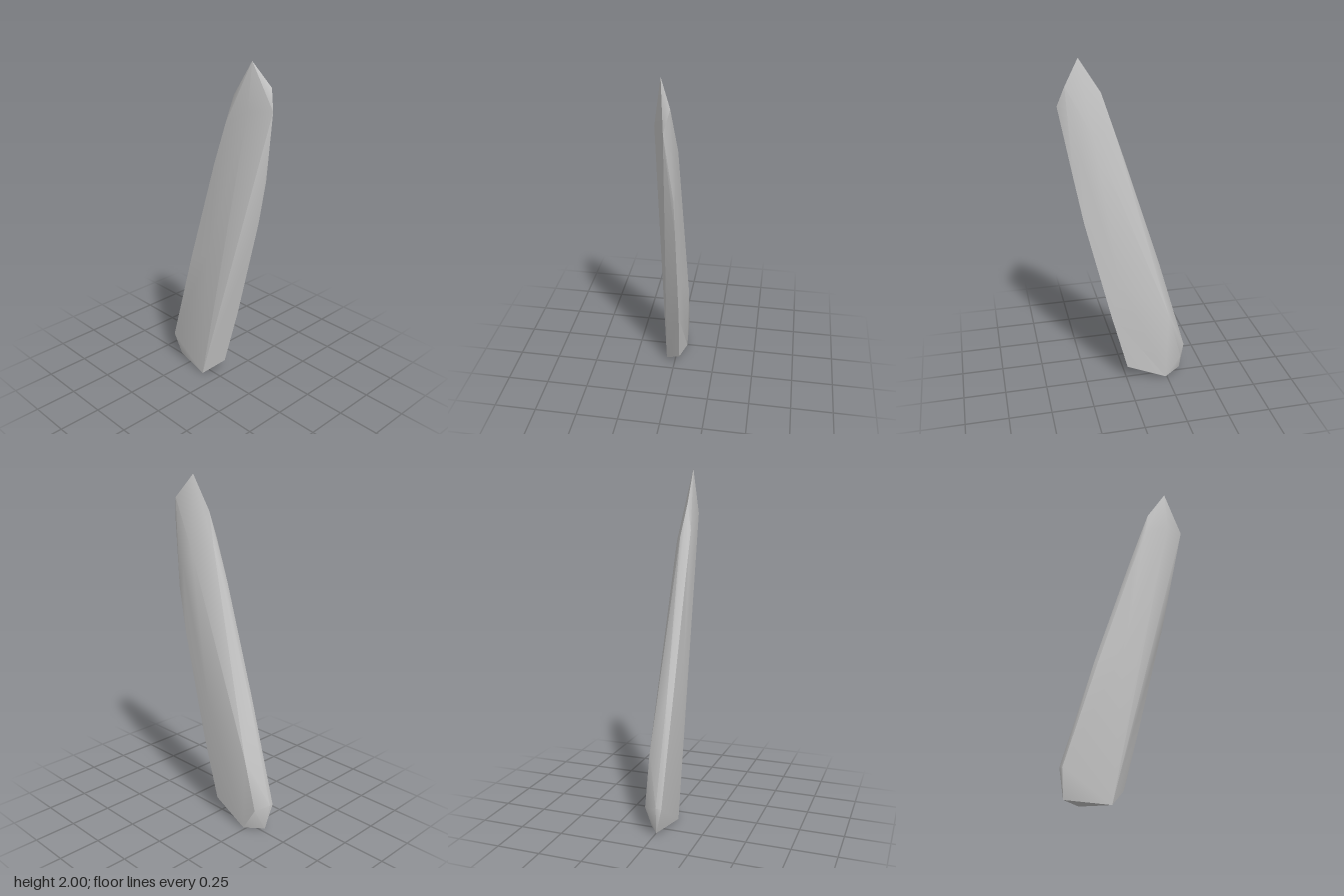
import * as THREE from 'three';
import { ConvexGeometry } from 'three/addons/geometries/ConvexGeometry.js';
import { toCreasedNormals } from 'three/addons/utils/BufferGeometryUtils.js';

export function createModel() {
  const model = new THREE.Group();
  model.name = 'stoneShard';
  const stone = new THREE.MeshStandardMaterial({ color: 0xc6c6c6 });
  stone.name = 'light grey stone';

  // Corners of the faceted shard, grouped by region
  const tip = [[0.25, 2, 0.02], [0.13, 1.81, 0.027], [0.332, 1.87, -0.04], [0.372, 1.76, -0.01]];
  const base = [[-0.1, 0, 0.056], [-0.24, 0.004, -0.058], [-0.346, 0.015, 0.012], [0, 0.1, -0.04],
    [-0.374, 0.175, 0.02], [-0.368, 0.17, 0.051], [-0.33, 0.153, -0.06]];
  const leftRim = [[-0.2, 0.78, 0.025], [0, 1.415, 0.022], [0.07, 1.62, 0.003]];
  const rightRim = [[0.1, 0.48, -0.05], [0.25, 1.1, -0.052], [0.3, 1.36, -0.05]];
  const frontFace = [[0.255, 1.75, 0.053], [0.1, 1.66, 0.057], [-0.186, 0.78, 0.057],
    [0.014, 1.415, 0.058], [-0.04, 0.85, 0.061], [0.05, 0.85, 0.056]];
  const backFace = [[0.186, 1.59, -0.057], [0.26, 1.5, -0.055], [-0.25, 0.45, -0.062], [0.05, 0.7, -0.06]];

  const points = [tip, base, leftRim, rightRim, frontFace, backFace].flat()
    .map((p) => new THREE.Vector3(...p));

  // Shallow facets blend softly, steep ones keep a sharp edge
  const shard = new THREE.Mesh(toCreasedNormals(new ConvexGeometry(points), 0.75), stone);
  shard.name = 'shard';
  model.add(shard);
  return model;
}
